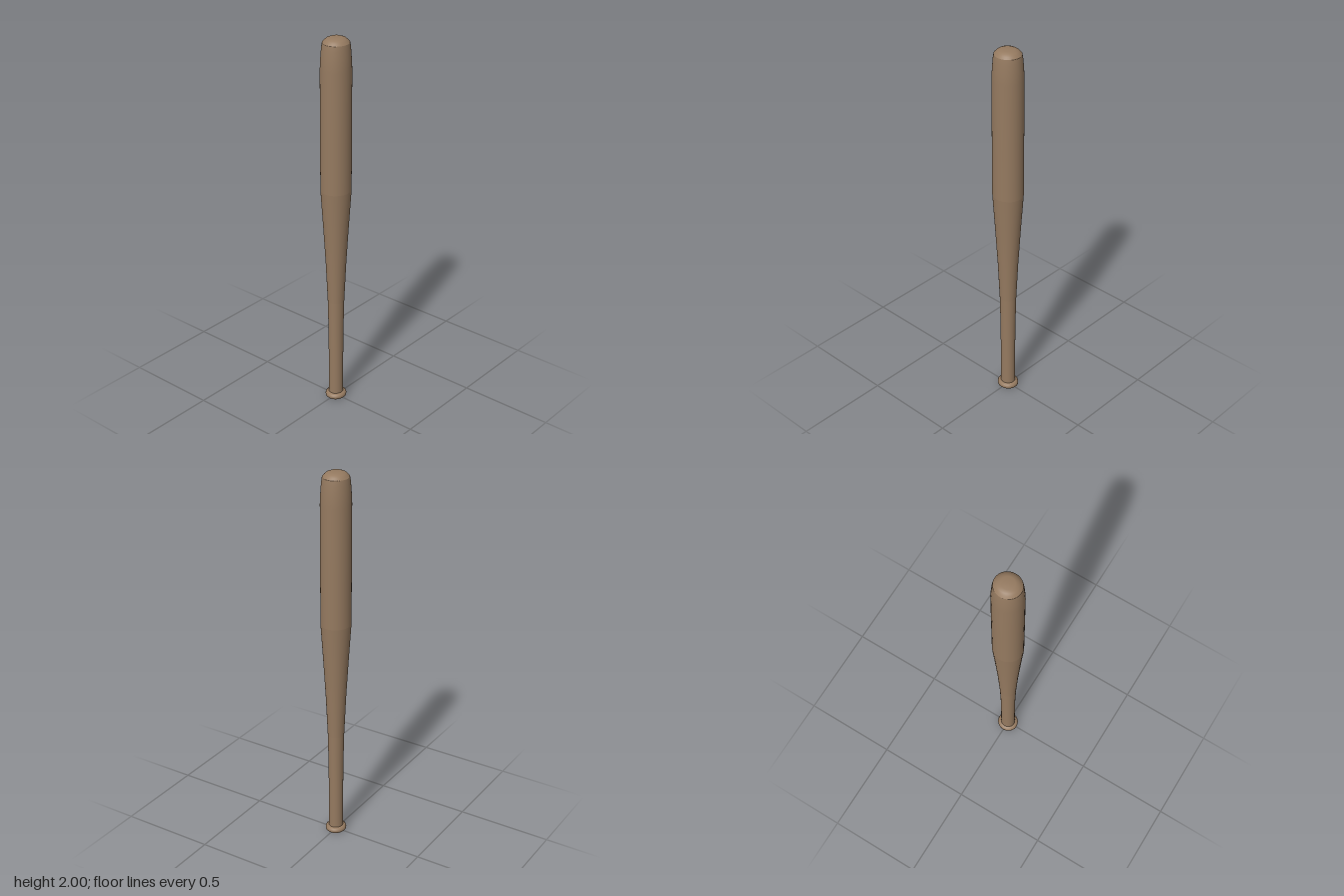
import * as THREE from 'three';

export function createModel() {
  const bat = new THREE.Group();
  bat.name = 'bat';

  const wood = new THREE.MeshStandardMaterial({ color: 0x957a60 });
  wood.name = 'wood';

  // Each part is a turned [radius, height] profile; separate parts keep crisp edges
  const turn = (name, profile) => {
    const points = profile.map(([r, y]) => new THREE.Vector2(r, y));
    const mesh = new THREE.Mesh(new THREE.LatheGeometry(points, 40), wood);
    mesh.name = name;
    bat.add(mesh);
  };

  turn('knobBase', [[0, 0], [0.05, 0]]);
  turn('knobRim', [[0.05, 0], [0.056, 0.006], [0.057, 0.014], [0.055, 0.021], [0.049, 0.026]]);
  turn('knobTop', [[0.049, 0.026], [0.039, 0.03]]);
  turn('handle', [[0.039, 0.028], [0.039, 0.2], [0.04, 0.4], [0.044, 0.58]]);
  turn('taper', [[0.044, 0.58], [0.054, 0.8], [0.066, 1.0], [0.08, 1.21]]);
  turn('barrel', [
    [0.08, 1.21], [0.08, 1.5], [0.08, 1.84], [0.077, 1.9], [0.073, 1.95], [0.069, 1.975],
  ]);
  turn('endCap', [[0.069, 1.975], [0.06, 1.985], [0.05, 1.993], [0.033, 2], [0, 2]]);

  // Slightly oval cross-section
  bat.scale.z = 0.95;
  return bat;
}
